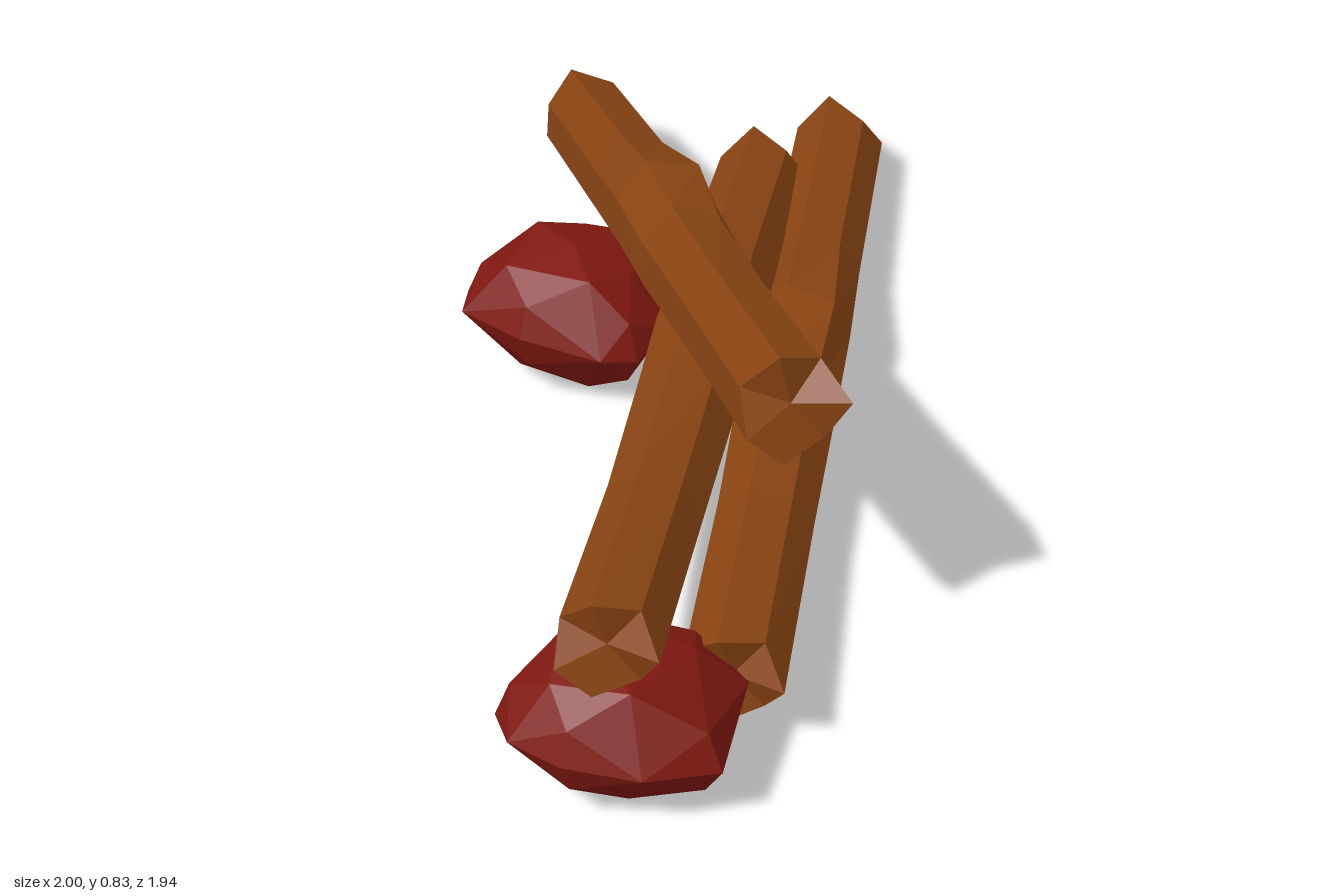
import * as THREE from 'three';
import { ConvexGeometry } from 'three/addons/geometries/ConvexGeometry.js';

const bark = new THREE.MeshStandardMaterial({ color: 0x8b4513, flatShading: true });
const stone = new THREE.MeshStandardMaterial({ color: 0x7f1810, flatShading: true });

const SIDES = 7;
const RADII = [1.02, 0.96, 1.04, 0.98, 1.0, 1.05, 0.97]; // uneven bark ridges
const JAG = [0.01, -0.025, 0.03, -0.02, 0.025, -0.02, 0.025]; // splintered ends
const STATIONS = [0, 0.25, 0.45, 0.58, 0.72, 1];
const THICKNESS = [1, 0.98, 1.03, 1.06, 1, 0.97];

// Log lofted from start to end; lift raises the middle stations, a knot swells one ridge
function makeLog(name, start, end, lift, radius) {
  const a = new THREE.Vector3(...start), b = new THREE.Vector3(...end);
  const dir = b.clone().sub(a).normalize();
  const side = dir.clone().cross(new THREE.Vector3(0, 1, 0)).normalize();
  const up = side.clone().cross(dir);
  const pos = [], index = [];
  const last = STATIONS.length - 1;

  STATIONS.forEach((t, s) => {
    const centre = a.clone().lerp(b, t);
    centre.y += lift[s];
    for (let i = 0; i < SIDES; i++) {
      const angle = (i / SIDES) * Math.PI * 2;
      let r = radius * RADII[i] * THICKNESS[s];
      if (s === 3 && i === 1) r *= 1.2; // knot
      const along = s === 0 ? -JAG[(i + 2) % SIDES] : s === last ? JAG[i] : 0.02 * Math.sin(i * 2.3 + s);
      const p = centre.clone()
        .addScaledVector(side, Math.cos(angle) * r)
        .addScaledVector(up, Math.sin(angle) * r)
        .addScaledVector(dir, along);
      pos.push(p.x, p.y, p.z);
    }
  });
  for (let s = 0; s < last; s++) {
    for (let i = 0; i < SIDES; i++) {
      const p = s * SIDES + i, q = s * SIDES + ((i + 1) % SIDES);
      index.push(p, p + SIDES, q, q, p + SIDES, q + SIDES);
    }
  }
  // Slightly hollow end caps
  const c0 = pos.length / 3, c1 = c0 + 1;
  const inA = a.clone().addScaledVector(dir, 0.015), inB = b.clone().addScaledVector(dir, -0.015);
  pos.push(inA.x, inA.y, inA.z, inB.x, inB.y, inB.z);
  for (let i = 0; i < SIDES; i++) {
    const j = (i + 1) % SIDES;
    index.push(c0, i, j, c1, last * SIDES + j, last * SIDES + i);
  }
  const geo = new THREE.BufferGeometry();
  geo.setAttribute('position', new THREE.Float32BufferAttribute(pos, 3));
  geo.setIndex(index);
  geo.computeVertexNormals();
  const mesh = new THREE.Mesh(geo, bark);
  mesh.name = name;
  return mesh;
}

// Faceted stone: a plan outline shrunk toward top and bottom, wrapped in a convex hull
function makeStone(name, outline, yMid, halfHeight) {
  const cx = outline.reduce((sum, p) => sum + p[0], 0) / outline.length;
  const cz = outline.reduce((sum, p) => sum + p[1], 0) / outline.length;
  const rings = [[-1, 0.5], [-0.6, 0.84], [-0.05, 1], [0.5, 0.87], [0.85, 0.6]];
  const points = [new THREE.Vector3(cx, yMid + halfHeight, cz)];
  rings.forEach(([h, k], r) => outline.forEach(([x, z], i) => {
    if (r !== 2 && (i + r) % 2) return; // alternate corners give broad facets
    const y = yMid + halfHeight * (h + (r === 0 ? 0 : 0.1 * Math.sin(i * 2.1 + r)));
    points.push(new THREE.Vector3(cx + (x - cx) * k, y, cz + (z - cz) * k));
  }));
  const mesh = new THREE.Mesh(new ConvexGeometry(points), stone);
  mesh.name = name;
  return mesh;
}

export function createModel() {
  const group = new THREE.Group();
  group.name = 'logPile';

  // Three crossed logs
  group.add(
    makeLog('bottomLog', [-0.56, 0.18, 0.80], [0.925, 0.11, -0.51], [0, -0.01, 0.005, 0.025, 0.01, 0], 0.105),
    makeLog('middleLog', [-0.85, 0.405, 0.775], [0.66, 0.155, -0.48], [0, -0.01, 0.01, 0.03, 0.015, 0], 0.104),
    makeLog('topLog', [-0.38, 0.73, 0.765], [0.505, 0.165, -0.91], [0, 0, 0.005, 0.025, 0.01, 0], 0.107),
  );

  // Two stones propping the pile
  group.add(
    makeStone('frontStone', [
      [-1, 0.66], [-0.95, 0.56], [-0.83, 0.52], [-0.7, 0.53], [-0.6, 0.6],
      [-0.55, 0.72], [-0.54, 0.83], [-0.73, 0.97], [-0.87, 0.9], [-0.97, 0.78],
    ], 0.175, 0.145),
    makeStone('backStone', [
      [-0.22, -0.46], [-0.14, -0.54], [0, -0.55], [0.15, -0.48], [0.2, -0.38],
      [0.17, -0.25], [0.08, -0.13], [-0.03, -0.1], [-0.1, -0.14], [-0.19, -0.3],
    ], 0.19, 0.15),
  );
  return group;
}
